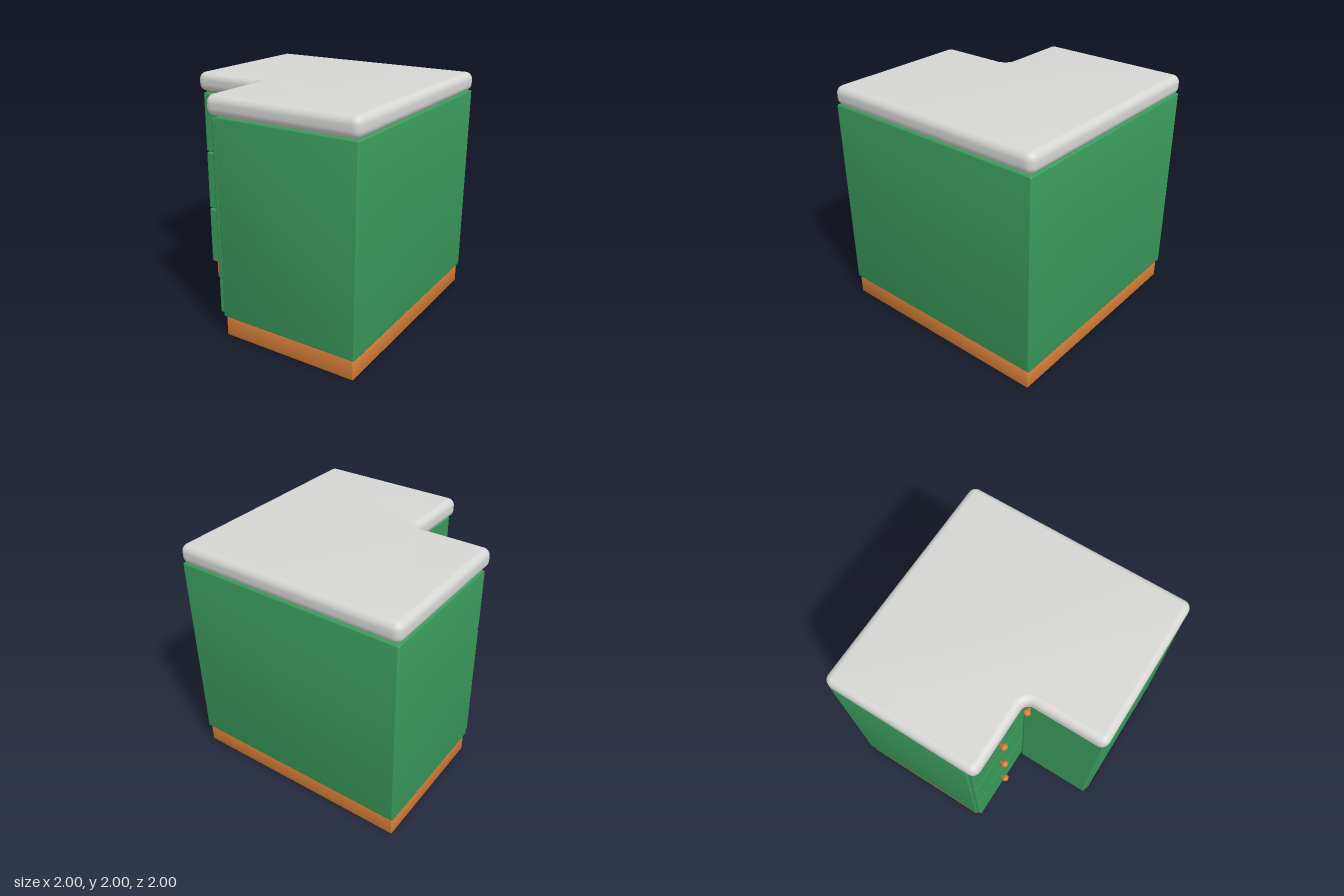
import * as THREE from 'three';
import { toCreasedNormals } from 'three/addons/utils/BufferGeometryUtils.js';
import { RoundedBoxGeometry } from 'three/addons/geometries/RoundedBoxGeometry.js';

const paint = (name, color) => Object.assign(new THREE.MeshStandardMaterial({ color }), { name });

// L-shaped plan with rounded corners; the notch is cut from the front right corner
function lShape(x0, x1, zBack, zFront, notchX, notchZ, r) {
  const pts = [[x0, -notchZ], [notchX, -notchZ], [notchX, -zFront], [x1, -zFront], [x1, -zBack], [x0, -zBack]]
    .map(([x, y]) => new THREE.Vector2(x, y));
  const shape = new THREE.Shape();
  pts.forEach((p, i) => {
    const before = pts[(i + 5) % 6].clone().sub(p).normalize();
    const after = pts[(i + 1) % 6].clone().sub(p).normalize();
    const at = (dir, d) => p.clone().addScaledVector(dir, d);
    const a = at(before, r), b = at(after, r);
    const c1 = at(before, r * 0.448), c2 = at(after, r * 0.448);
    if (i === 0) shape.moveTo(a.x, a.y);
    else shape.lineTo(a.x, a.y);
    shape.bezierCurveTo(c1.x, c1.y, c2.x, c2.y, b.x, b.y);
  });
  shape.closePath();
  return shape;
}

// Upright slab from y0 to y1 with softened edges
function slab(shape, y0, y1, bevel, segments) {
  const geo = new THREE.ExtrudeGeometry(shape, {
    depth: y1 - y0 - 2 * bevel, bevelThickness: bevel, bevelSize: bevel,
    bevelOffset: -bevel, bevelSegments: segments, curveSegments: 8,
  });
  geo.rotateX(-Math.PI / 2).translate(0, y0 + bevel, 0);
  return toCreasedNormals(geo, 0.7);
}

export function createModel() {
  const model = new THREE.Group();
  model.name = 'cornerCabinet';
  const green = paint('greenPaint', 0x3a9a5c);
  const orange = paint('orangeWood', 0xd97f38);
  const grey = paint('greyStone', 0xd6d6d4);

  const add = (name, geo, mat, parent = model) => {
    const mesh = new THREE.Mesh(geo, mat);
    mesh.name = name;
    parent.add(mesh);
    return mesh;
  };

  // Plinth, carcass and worktop share the same L plan
  add('plinth', slab(lShape(-0.975, 0.975, -0.97, 0.98, -0.22, 0.22, 0.008), 0, 0.18, 0.006, 2), orange);
  add('cabinetBody', slab(lShape(-0.99, 0.99, -0.99, 0.995, -0.24, 0.24, 0.014), 0.17, 1.84, 0.012, 3), green);
  add('worktop', slab(lShape(-1, 1, -1, 1, -0.333, 0.333, 0.066), 1.838, 2, 0.062, 8), grey);

  // Turned knob pointing along +z
  const knobProfile = [[0, 0], [0.014, 0], [0.014, 0.018], [0.026, 0.024], [0.032, 0.038],
    [0.03, 0.052], [0.02, 0.064], [0, 0.07]].map(([x, y]) => new THREE.Vector2(x, y));
  const knobGeo = new THREE.LatheGeometry(knobProfile, 20).rotateX(Math.PI / 2);

  // Front panel with its knob, built facing +z
  function panel(name, w, h, knobX, knobY) {
    const group = new THREE.Group();
    group.name = name;
    add(name + 'Front', new RoundedBoxGeometry(w, h, 0.05, 3, 0.018), green, group);
    add(name + 'Knob', knobGeo, orange, group).position.set(knobX, knobY, 0.023);
    model.add(group);
    return group;
  }

  // Three drawers on the short arm
  [0.463, 1.005, 1.548].forEach((y, i) => {
    panel('drawer' + (i + 1), 0.725, 0.538, 0, 0).position.set(-0.617, y, 0.26);
  });

  // Tall door on the inner side of the long arm, knob beside the drawers
  const door = panel('door', 0.69, 1.635, -0.29, 0.675);
  door.position.set(-0.261, 1.005, 0.635);
  door.rotation.y = -Math.PI / 2;

  return model;
}
